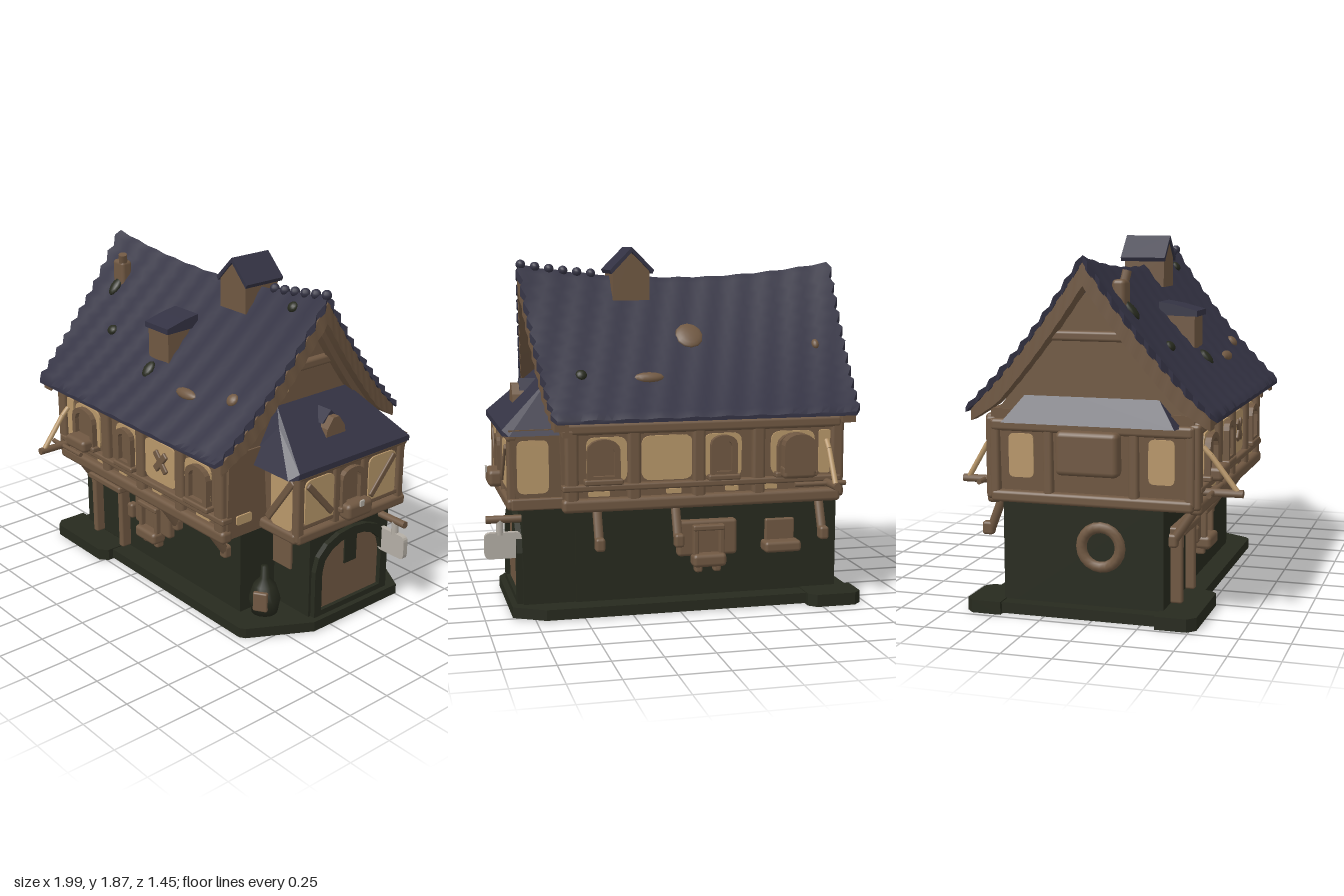
import * as THREE from 'three';
import { toCreasedNormals } from 'three/addons/utils/BufferGeometryUtils.js';
import { RoundedBoxGeometry } from 'three/addons/geometries/RoundedBoxGeometry.js';
import { ConvexGeometry } from 'three/addons/geometries/ConvexGeometry.js';

const material = (name, color) =>
  Object.assign(new THREE.MeshStandardMaterial({ color, side: THREE.DoubleSide }), { name });

export function createModel() {
  const slate = material('slate', 0x343344), wood = material('wood', 0x705842);
  const plaster = material('plaster', 0xb8976a), stone = material('dark stone', 0x272a1e);
  const grey = material('pale grey', 0xb4aea5);
  const house = new THREE.Group();
  house.name = 'house';

  // ---- helpers ----
  const add = (name, geo, mat, parent = house) => {
    const m = new THREE.Mesh(geo, mat);
    m.name = name;
    parent.add(m);
    return m;
  };
  const box = (name, mat, w, h, d, x, y, z, parent = house, rz = 0) => {
    const r = Math.min(w, h, d) * 0.3;
    const m = add(name, new RoundedBoxGeometry(w, h, d, 2, r), mat, parent);
    m.position.set(x, y, z);
    m.rotation.z = rz;
    return m;
  };
  const hull = (name, mat, pts, parent = house) =>
    add(name, new ConvexGeometry(pts.map(p => new THREE.Vector3(...p))), mat, parent);
  // prism from a footprint of [x, z] points
  const prism = (name, mat, foot, y0, y1) =>
    hull(name, mat, foot.flatMap(([x, z]) => [[x, y0, z], [x, y1, z]]));
  const rod = (name, mat, a, b, r, parent = house) => {
    const A = new THREE.Vector3(...a), B = new THREE.Vector3(...b), d = B.clone().sub(A);
    const m = add(name, new THREE.CylinderGeometry(r, r, d.length(), 10), mat, parent);
    m.position.copy(A).add(B).multiplyScalar(0.5);
    m.quaternion.setFromUnitVectors(new THREE.Vector3(0, 1, 0), d.normalize());
    return m;
  };
  const archPath = (P, w, h, y0 = 0) => {
    const p = new P();
    p.moveTo(-w / 2, y0);
    p.lineTo(w / 2, y0);
    p.lineTo(w / 2, h - w * 0.36);
    p.bezierCurveTo(w / 2, h + w * 0.1, -w / 2, h + w * 0.1, -w / 2, h - w * 0.36);
    p.closePath();
    return p;
  };
  const arch = (name, mat, w, h, depth, x, y, z, parent, rim = 0) => {
    const s = archPath(THREE.Shape, w, h);
    if (rim) s.holes.push(archPath(THREE.Path, w - 2 * rim, h - rim, rim));
    const m = add(name, new THREE.ExtrudeGeometry(s, { depth, bevelEnabled: false, curveSegments: 8 }), mat, parent);
    m.position.set(x, y, z);
    return m;
  };
  // flat plate with rounded corners
  const plate = (name, mat, g, x, y, w, h, z, depth) => {
    const s = new THREE.Shape(), a = w / 2, b = h / 2, r = Math.min(a, b) * 0.45;
    s.moveTo(-a + r, -b).lineTo(a - r, -b).quadraticCurveTo(a, -b, a, -b + r);
    s.lineTo(a, b - r).quadraticCurveTo(a, b, a - r, b).lineTo(-a + r, b);
    s.quadraticCurveTo(-a, b, -a, b - r).lineTo(-a, -b + r).quadraticCurveTo(-a, -b, -a + r, -b);
    const geo = new THREE.ExtrudeGeometry(s, { depth, bevelEnabled: false, curveSegments: 4 });
    add(name, geo, mat, g).position.set(x, y, z);
  };
  const panel = (g, x, y, w, h, z = 0) => plate('plasterPanel', plaster, g, x, y, w, h, z, 0.009);
  const side = (name, x, z, turn) => {
    const g = new THREE.Group();
    g.name = name;
    g.position.set(x, 0, z);
    g.rotation.y = turn;
    house.add(g);
    return g;
  };

  // ---- base and ground floor ----
  prism('baseSlab', stone, [[-0.95, -0.59], [-0.95, 0.46], [0.65, 0.46], [0.68, 0.44], [0.86, 0.12], [0.86, -0.5], [0.7, -0.59]], 0.005, 0.06);
  const step = (name, x0, x1, z0, z1, cut) => prism(name, stone,
    [[x0, z0], [x1, z0], [x0, z0 + (z1 - z0) * 0.8], [x0 + cut, z1], [x1 - cut, z1], [x1, z0 + (z1 - z0) * 0.8]], 0, 0.065);
  step('frontStep', -0.98, -0.48, 0.33, 0.53, 0.04);
  step('backStep', -0.97, -0.68, -0.47, -0.66, 0.04);
  prism('groundFloor', stone, [[-0.88, -0.48], [-0.88, 0.35], [0.53, 0.35], [0.53, -0.48]], 0.02, 0.6);
  prism('annexGroundFloor', stone, [[0.4, -0.47], [0.4, 0.11], [0.8, 0.11], [0.8, -0.47]], 0.02, 0.6);

  // ---- upper floor ----
  hull('upperFloor', wood, [[-0.86, 0.56], [0.6, 0.56], [-0.88, 1.03], [0.62, 1.03]]
    .flatMap(([x, y]) => [[x, y, 0.5], [x, y, -0.54]]));
  hull('annexUpperFloor', wood, [[0.83, 0.56, 0.23, -0.49], [0.87, 0.97, 0.27, -0.51]]
    .flatMap(([x, y, f, b]) => [[x, y, f], [x, y, b], [0.4, y, f], [0.4, y, b]]));

  // ---- timbered long sides ----
  const window = (g, x, y, w, h) => {
    arch('windowFrame', wood, w, h, 0.04, x, y, 0, g, 0.03);
    arch('windowPane', wood, w - 0.03, h - 0.02, 0.015, x, y + 0.01, 0, g);
    box('windowSill', wood, w + 0.03, 0.03, 0.06, x, y, 0.02, g);
  };
  [1, -1].forEach(s => {
    const g = side(s > 0 ? 'frontTimbering' : 'backTimbering', 0, s > 0 ? 0.502 : -0.542, s > 0 ? 0 : Math.PI);
    const k = x => s * x;
    [-0.85, -0.42, -0.1, 0.24, 0.56].forEach(x => box('post', wood, 0.07, 0.42, 0.06, k(x), 0.78, 0, g));
    [[0.58, 0.07], [0.67, 0.035], [0.97, 0.06]].forEach(([y, h]) => box('rail', wood, 1.48, h, 0.07, -0.13 * s, y, 0, g));
    [[-0.785, 0.065], [-0.61, 0.24], [-0.23, 0.2], [0.065, 0.27], [0.38, 0.21]].forEach(([x, w]) => panel(g, k(x), 0.81, w, 0.23));
    [[-0.49, 0.07], [-0.28, 0.07], [0.03, 0.08], [0.42, 0.11]].forEach(([x, w]) => panel(g, k(x), 0.635, w, 0.025));
    [[-0.62, 0.2], [-0.23, 0.14], [0.4, 0.17]].forEach(([x, w]) => window(g, k(x), 0.7, w, 0.22));
    if (s > 0) [-1, 1].forEach(d => box('crossBrace', wood, 0.14, 0.04, 0.025, 0.075, 0.82, 0.01, g, d * 0.85));
    else arch('backBay', wood, 0.17, 0.2, 0.1, k(-0.62), 0.72, 0, g);
    box('balconyBox', wood, 0.18, 0.07, 0.1, k(-0.62), 0.72, 0.05, g);
    const out = s > 0 ? 0.22 : 0.19;
    rod('balconyPole', wood, [k(-0.79), 0.65, 0], [k(-0.79), 0.65, out], 0.02, g);
    rod('balconyStay', plaster, [k(-0.79), 0.66, out - 0.03], [k(-0.79), 0.83, 0.06], 0.014, g);
    rod('balconyStayFoot', plaster, [k(-0.79), 0.83, 0.06], [k(-0.79), 0.87, 0.02], 0.014, g);
    rod('balconyRail', wood, [k(-0.88), 0.65, 0.07], [k(-0.6), 0.65, 0.07], 0.013, g);
    // braces under the overhang
    [-0.76, 0.02, 0.43].forEach(x => {
      rod('overhangBrace', wood, [k(x), 0.38, s > 0 ? -0.14 : 0.06], [k(x), 0.56, s > 0 ? -0.02 : -0.01], 0.024, g);
      box('braceFoot', wood, 0.05, 0.07, 0.06, k(x), 0.39, s > 0 ? -0.14 : 0.07, g);
    });
  });

  // ---- ground-floor front and back details ----
  [1, -1].forEach(s => {
    const g = side(s > 0 ? 'frontGroundDetails' : 'backGroundDetails', 0, s > 0 ? 0.35 : -0.48, s > 0 ? 0 : Math.PI);
    const x = s > 0 ? -0.19 : 0.16;
    box('bayWindow', wood, 0.32, 0.19, 0.06, x, 0.37, 0.01, g);
    [-0.07, 0.07].forEach(d => box('bayPost', wood, 0.03, 0.15, 0.06, x + d, 0.36, 0.04, g));
    box('bayLintel', wood, 0.17, 0.03, 0.07, x, 0.43, 0.04, g);
    box('flowerBox', wood, 0.18, 0.07, 0.09, x, 0.26, 0.05, g);
    [-0.05, 0.05].forEach(d => box('flowerBoxFoot', wood, 0.04, 0.05, 0.05, x + d, 0.215, 0.03, g));
    if (s < 0) {
      box('backShelf', wood, 0.2, 0.06, 0.1, 0.56, 0.31, 0.04, g);
      box('backShutter', wood, 0.16, 0.12, 0.03, 0.56, 0.39, 0.01, g);
      return;
    }
    // door frame and lantern
    [-0.73, -0.47].forEach(px => box('doorPost', wood, 0.04, 0.37, 0.08, px, 0.25, 0.02, g));
    box('doorLintel', wood, 0.32, 0.04, 0.1, -0.6, 0.435, 0.03, g);
    box('doorLeaf', stone, 0.2, 0.34, 0.02, -0.6, 0.24, 0.005, g);
    box('lantern', wood, 0.05, 0.09, 0.05, -0.38, 0.33, 0.03, g);
  });
  // inner corner: shutter and jug
  box('cornerShutter', wood, 0.14, 0.2, 0.02, 0.6, 0.39, 0.115);
  const jug = add('jug', new THREE.LatheGeometry([[0, 0], [0.07, 0], [0.085, 0.08], [0.06, 0.16], [0.025, 0.2], [0.02, 0.27], [0, 0.27]]
    .map(p => new THREE.Vector2(...p)), 14), stone);
  jug.position.set(0.6, 0.06, 0.24);
  box('jugLabel', wood, 0.08, 0.11, 0.03, 0.635, 0.15, 0.3).rotation.y = 0.55;

  // ---- annex end ----
  const end = side('annexEndWall', 0.852, -0.12, Math.PI / 2);
  [-0.37, -0.12, 0.08, 0.35].forEach(x => box('post', wood, 0.05, 0.4, 0.05, x, 0.77, 0, end));
  [0.59, 0.94].forEach(y => box('rail', wood, 0.78, 0.06, 0.06, 0, y, 0, end));
  box('midRail', wood, 0.74, 0.03, 0.04, 0, 0.65, 0, end);
  [-0.24, 0.21].forEach(x => {
    panel(end, x, 0.77, 0.2, 0.26, 0.01);
    box('diagonalBrace', wood, 0.26, 0.035, 0.025, x, 0.78, 0.018, end, x > 0 ? 0.85 : -0.85);
  });
  window(end, -0.02, 0.68, 0.16, 0.22);
  box('windowBox', wood, 0.18, 0.09, 0.08, -0.01, 0.67, 0.05, end);
  box('smallPlate', grey, 0.03, 0.035, 0.01, -0.01, 0.71, 0.093, end);
  const annexFront = side('annexFrontWall', 0.74, 0.252, 0);
  panel(annexFront, 0.01, 0.77, 0.16, 0.3, 0.008);
  box('diagonalBrace', wood, 0.32, 0.04, 0.03, 0, 0.77, 0.012, annexFront, 0.95);
  box('rail', wood, 0.34, 0.06, 0.06, -0.05, 0.59, 0, annexFront);
  const annexBack = side('annexBackWall', 0.74, -0.502, Math.PI);
  panel(annexBack, -0.01, 0.78, 0.16, 0.27, 0.004);
  box('rail', wood, 0.34, 0.06, 0.03, 0.05, 0.59, 0, annexBack);
  // plaster patches beside the annex and in the gable
  const gable = side('gablePatches', 0.61, 0, Math.PI / 2);
  panel(gable, -0.4, 0.66, 0.1, 0.05);
  panel(gable, -0.14, 1.32, 0.06, 0.09);
  // big arched door
  const gate = side('archedDoor', 0.8, -0.175, Math.PI / 2);
  arch('doorArch', stone, 0.54, 0.48, 0.035, 0, 0.04, -0.005, gate, 0.05);
  arch('doorLeaf', wood, 0.43, 0.4, 0.008, 0, 0.07, 0, gate);
  box('keyholePlate', stone, 0.09, 0.18, 0.009, 0, 0.39, 0.011, gate);

  // ---- hanging sign ----
  rod('signArm', wood, [0.78, 0.5, -0.41], [0.98, 0.5, -0.41], 0.02);
  rod('signHanger', grey, [0.91, 0.42, -0.41], [0.91, 0.5, -0.41], 0.02);
  plate('signBoard', grey, house, 0.895, 0.365, 0.19, 0.135, -0.425, 0.03);

  // ---- left end: round window, bay and pent roof ----
  const left = side('leftEndWall', -0.872, -0.02, -Math.PI / 2);
  add('roundWindow', new THREE.TorusGeometry(0.1, 0.028, 8, 20), wood, left).position.set(0.05, 0.36, 0.01);
  [-0.5, -0.22, 0.22, 0.5].forEach(x => box('post', wood, 0.05, 0.4, 0.05, x, 0.78, 0, left));
  [0.59, 0.95].forEach(y => box('rail', wood, 1.04, 0.06, 0.06, 0, y, 0, left));
  [-0.36, 0.36].forEach(x => panel(left, x, 0.8, 0.13, 0.22, 0.008));
  box('bay', wood, 0.32, 0.22, 0.09, 0, 0.83, 0.04, left);
  hull('leftPentRoof', slate, [[-0.44, 0.97, 0.08], [0.44, 0.97, 0.08], [-0.48, 0.97, -0.1], [0.48, 0.97, -0.1], [-0.3, 1.16, -0.04], [0.3, 1.16, -0.04]], left);

  // ---- main roof: a sagging curved band lofted along x ----
  const ridgeZ = -0.02, half = 0.64;
  const roofY = (x, z) => {
    const h = 1 - Math.abs(z - ridgeZ) / half;
    return 1.02 + 0.68 * h - 0.16 * h * (1 - h) + 0.1 * h * (x + 0.1) ** 2;
  };
  const roofBand = (name, mat, top, thick, x0, x1, nx, rough, span = 1) => {
    const rows = 44, pos = [], idx = [], ring = 2 * (rows + 1);
    for (let i = 0; i <= nx; i++) for (let j = 0; j < ring; j++) {
      const inner = j > rows, t = ((inner ? ring - 1 - j : j) / rows) * 2 - 1;
      const h = 1 - Math.abs(t), z = ridgeZ + t * half * span;
      const tile = ((Math.round(h * 22) % 2) - 0.5) * rough;
      const x = THREE.MathUtils.lerp(x0(h) - tile, x1(h) + tile, i / nx);
      const depth = thick * Math.min(1, 0.5 + 2 * h); // thinner towards the eaves
      const y = roofY(x, z) + top + (inner ? -depth : tile * 0.35 + Math.sin(x * 37 + t * 9) * rough * 0.12);
      pos.push(x, y, z);
    }
    for (let i = 0; i < nx; i++) for (let j = 0; j < ring; j++) {
      const a = i * ring + j, b = i * ring + (j + 1) % ring;
      idx.push(a, b, a + ring, b, b + ring, a + ring);
    }
    const e = nx * ring;
    for (let j = 0; j < rows; j++) {
      const k = ring - 1 - j;
      idx.push(j, k, j + 1, j + 1, k, k - 1, e + j, e + j + 1, e + k, e + j + 1, e + k - 1, e + k);
    }
    const g = new THREE.BufferGeometry();
    g.setAttribute('position', new THREE.Float32BufferAttribute(pos, 3));
    g.setIndex(idx);
    return add(name, toCreasedNormals(g, 0.7), mat);
  };
  const xl = h => -0.93 - 0.06 * h, xr = h => 0.66 + 0.09 * h;
  roofBand('mainRoof', slate, 0.012, 0.045, xl, xr, 40, 0.025);
  roofBand('rightBargeboard', wood, -0.025, 0.11, h => xr(h) - 0.08, xr, 2, 0.008, 0.95);
  roofBand('rightInnerRafter', wood, -0.13, 0.06, h => xr(h) - 0.1, h => xr(h) - 0.05, 2, 0, 0.88);
  roofBand('leftBargeboard', wood, -0.025, 0.11, xl, h => xl(h) + 0.08, 2, 0.008, 0.95);
  hull('gableWalls', wood, [-0.87, 0.61].flatMap(x => [[x, 0.98, 0.5], [x, 0.98, -0.54], [x, 1.2, 0.31], [x, 1.2, -0.35], [x, 1.64, ridgeZ]]));
  [0.62, -0.89].forEach(x => box('gableBeam', wood, 0.05, 0.05, 0.4, x, 1.4, ridgeZ));
  for (let i = 0; i < 6; i++) {
    const x = 0.36 + i * 0.075;
    add('ridgeStud', new THREE.SphereGeometry(0.026, 10, 8), slate).position.set(x, roofY(x, ridgeZ) + 0.01, ridgeZ);
  }

  // ---- annex roof with a small vent ----
  hull('annexRoof', slate, [[0.9, 0.94, 0.3], [0.87, 0.94, 0.34], [0.9, 0.94, -0.49], [0.87, 0.94, -0.53], [0.55, 0.94, 0.34], [0.55, 0.94, -0.53],
    [0.9, 0.97, 0.29], [0.9, 0.97, -0.49], [0.69, 1.14, 0.24], [0.69, 1.14, -0.35], [0.62, 1.22, 0.19], [0.62, 1.22, -0.3]]);
  hull('roofVent', wood, [0.66, 0.8].flatMap(x => [[x, 1.05, 0.02], [x, 1.05, -0.12], [x, 1.1, 0.01], [x, 1.1, -0.11], [x, 1.155, -0.03], [x, 1.155, -0.07]]));
  hull('roofVentCap', slate, [0.62, 0.76].flatMap(x => [[x, 1.12, 0.01], [x, 1.12, -0.11], [x, 1.18, -0.05]]));

  // ---- ridge dormer ----
  hull('ridgeDormer', wood, [-0.13, 0.09].flatMap(z => [[0.06, 1.59, z], [0.26, 1.59, z], [0.06, 1.75, z], [0.26, 1.75, z], [0.16, 1.84, z]]));
  [-1, 1].forEach(s => hull('ridgeDormerRoof', slate, [-0.15, 0.1].flatMap(z =>
    [[0.16, 1.87, z], [0.16, 1.845, z], [0.16 + s * 0.12, 1.75, z], [0.16 + s * 0.11, 1.73, z]])));

  // ---- front dormer ----
  hull('frontDormer', wood, [-0.24, -0.07].flatMap(x => [[x, 1.28, 0.34], [x, 1.46, 0.34], [x, 1.49, 0.15], [x, 1.28, 0.15]]));
  hull('frontDormerRoof', slate, [-0.25, -0.055].flatMap(x => [[x, 1.455, 0.355], [x, 1.485, 0.355], [x, 1.515, 0.24], [x, 1.53, 0.15], [x, 1.46, 0.15]]));

  // ---- weathered patches and a leaning post on the roof ----
  [[-0.62, 0.31, 0.035, 0.03, stone], [0.18, 0.42, 0.08, 0.03, wood], [0.5, 0.38, 0.035, 0.035, wood], [0.55, 0.03, 0.03, 0.03, stone],
    [-0.18, 0.39, 0.035, 0.05, stone], [-0.79, 0.16, 0.035, 0.06, stone], [0.14, -0.46, 0.08, 0.03, wood], [-0.12, -0.27, 0.075, 0.08, wood],
    [-0.8, -0.34, 0.02, 0.03, wood], [0.49, -0.45, 0.03, 0.03, stone]].forEach(([x, z, rx, rz, mat]) => {
    const p = add('roofPatch', new THREE.SphereGeometry(1, 12, 8), mat);
    p.scale.set(rx, 0.022, rz);
    p.position.set(x, roofY(x, z) + 0.012, z);
    p.rotation.x = z > ridgeZ ? 0.83 : -0.83;
  });
  box('leaningPost', wood, 0.1, 0.17, 0.07, -0.79, 1.585, 0.11);
  rod('leaningPostTop', wood, [-0.78, 1.6, 0.11], [-0.755, 1.71, 0.13], 0.024);

  return house;
}
